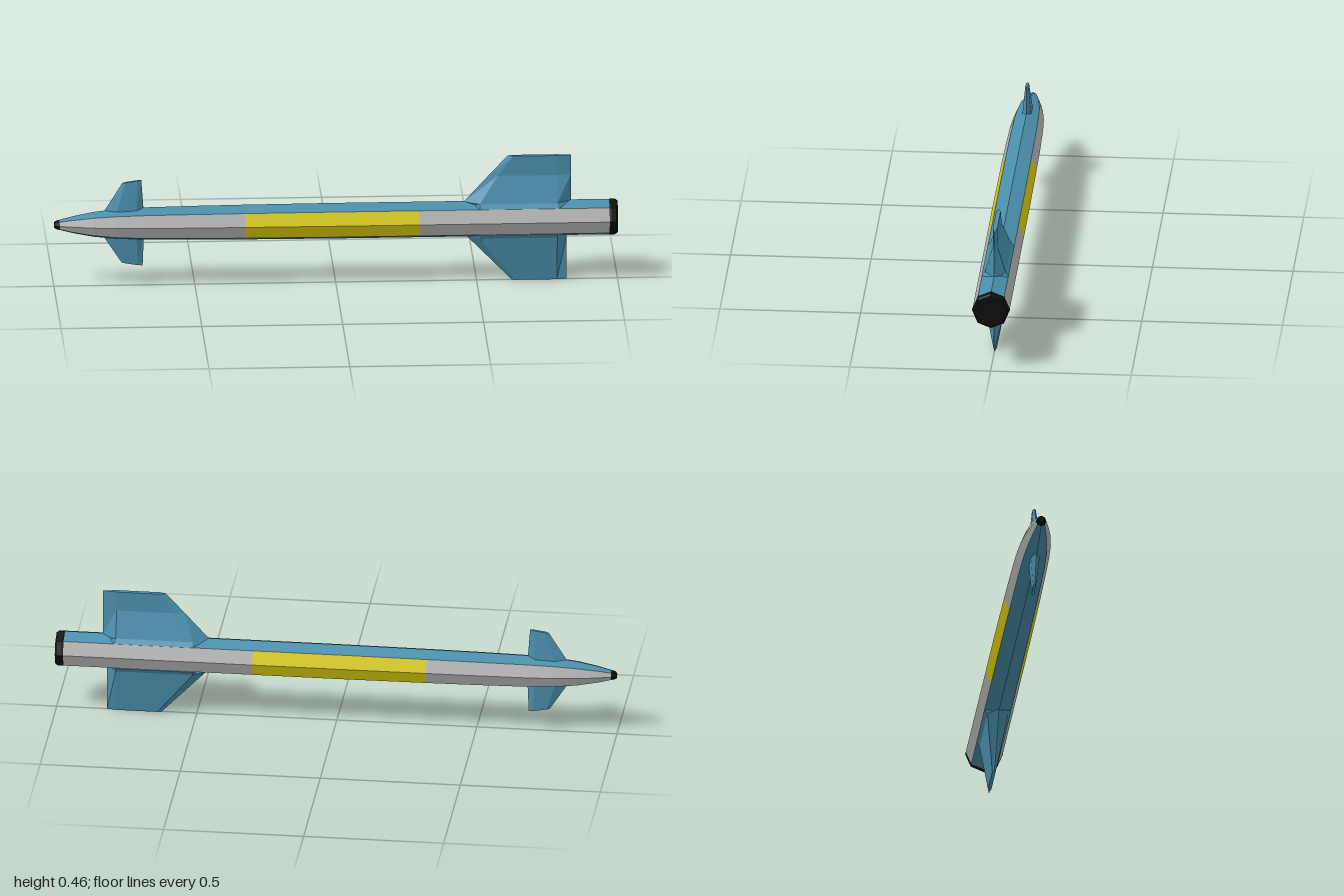
import * as THREE from 'three';

const BLUE = 0x4a8fac, GREY = 0xb4b4b4, YELLOW = 0xd8cc10, BLACK = 0x0c0c0c;
const AXIS_Y = 0.228;

const materials = {};
function material(color) {
  return materials[color] ??= new THREE.MeshStandardMaterial({ color, flatShading: true });
}

// Part of an eight-sided hull along x; profile is a list of [x, radius], angle 0 faces +z
function hull(name, color, profile, start = 0, sides = 8) {
  const points = profile.map(([x, r]) => new THREE.Vector2(r, x));
  const geometry = new THREE.LatheGeometry(points, sides, start, sides * Math.PI / 4);
  geometry.rotateZ(-Math.PI / 2);
  const mesh = new THREE.Mesh(geometry, material(color));
  mesh.position.y = AXIS_Y;
  mesh.name = name;
  return mesh;
}

// Fin lofted through six-sided sections, bottom to top.
// Section: [half thickness, then an [x, y] for leading edge, front ridge, rear ridge, trailing edge]
function fin(name, sections) {
  const rings = sections.map(([h, lead, front, rear, trail]) => [
    [...lead, 0], [...front, h], [...rear, h], [...trail, 0], [...rear, -h], [...front, -h]]);
  const pos = [];
  const tri = (a, b, c) => pos.push(...a, ...b, ...c);
  for (let s = 0; s < rings.length - 1; s++) {
    const low = rings[s], high = rings[s + 1];
    for (let i = 0; i < 6; i++) {
      const j = (i + 1) % 6;
      tri(low[i], low[j], high[j]);
      tri(low[i], high[j], high[i]);
    }
  }
  const bottom = rings[0], top = rings[rings.length - 1];
  for (let i = 1; i < 5; i++) {
    tri(top[0], top[i], top[i + 1]);
    tri(bottom[0], bottom[i + 1], bottom[i]);
  }
  const geometry = new THREE.BufferGeometry();
  geometry.setAttribute('position', new THREE.Float32BufferAttribute(pos, 3));
  geometry.computeVertexNormals();
  const mesh = new THREE.Mesh(geometry, material(BLUE));
  mesh.name = name;
  return mesh;
}

// Section at one height
const level = (y, h, ...xs) => [h, ...xs.map(x => [x, y])];

export function createModel() {
  const model = new THREE.Group();
  model.name = 'missile';

  // Body profile, split where the yellow band begins and ends
  const nose = [[-0.98, 0.019], [-0.93, 0.032], [-0.86, 0.046], [-0.78, 0.055],
    [-0.68, 0.06], [-0.5, 0.063], [-0.325, 0.0645]];
  const band = [[-0.325, 0.0645], [0, 0.066], [0.295, 0.066]];
  const rear = [[0.295, 0.066], [0.97, 0.066]];
  const Q = Math.PI / 4;

  // Blue strips above and below, grey and yellow strips on the sides
  for (const [side, start] of [['top', -3 * Q], ['bottom', Q]])
    model.add(hull(side + 'Strip', BLUE, [...nose, ...band.slice(1), rear[1]], start, 2));
  for (const [side, start] of [['front', -Q], ['back', 3 * Q]]) {
    model.add(hull(side + 'NoseStrip', GREY, nose, start, 2));
    model.add(hull(side + 'BandStrip', YELLOW, band, start, 2));
    model.add(hull(side + 'RearStrip', GREY, rear, start, 2));
  }

  // Black ends
  model.add(hull('noseTip', BLACK, [[-1, 0], [-1, 0.01], [-0.992, 0.016], [-0.98, 0.019]]));
  model.add(hull('tailCap', BLACK,
    [[0.97, 0], [0.97, 0.066], [0.978, 0.067], [0.992, 0.066], [1, 0.06], [1, 0]]));

  // Tail fins; the upper one thins quickly and then stays thin
  model.add(fin('upperTailFin', [
    level(0.276, 0.048, 0.47, 0.51, 0.79, 0.83),
    level(0.292, 0.037, 0.455, 0.51, 0.785, 0.835),
    level(0.388, 0.008, 0.543, 0.575, 0.785, 0.835),
    level(0.46, 0.008, 0.61, 0.63, 0.785, 0.835)]));
  model.add(fin('lowerTailFin', [
    level(0, 0.006, 0.625, 0.64, 0.785, 0.82),
    level(0.164, 0.037, 0.465, 0.51, 0.785, 0.82),
    level(0.18, 0.048, 0.48, 0.51, 0.785, 0.82)]));

  // Small forward fins with slanted tips
  model.add(fin('upperForwardFin', [
    level(0.255, 0.018, -0.835, -0.785, -0.71, -0.68),
    [0.005, [-0.757, 0.38], [-0.745, 0.382], [-0.703, 0.388], [-0.69, 0.39]]]));
  model.add(fin('lowerForwardFin', [
    [0.005, [-0.76, 0.085], [-0.748, 0.083], [-0.7, 0.075], [-0.685, 0.073]],
    level(0.2, 0.018, -0.835, -0.785, -0.71, -0.68)]));

  return model;
}
